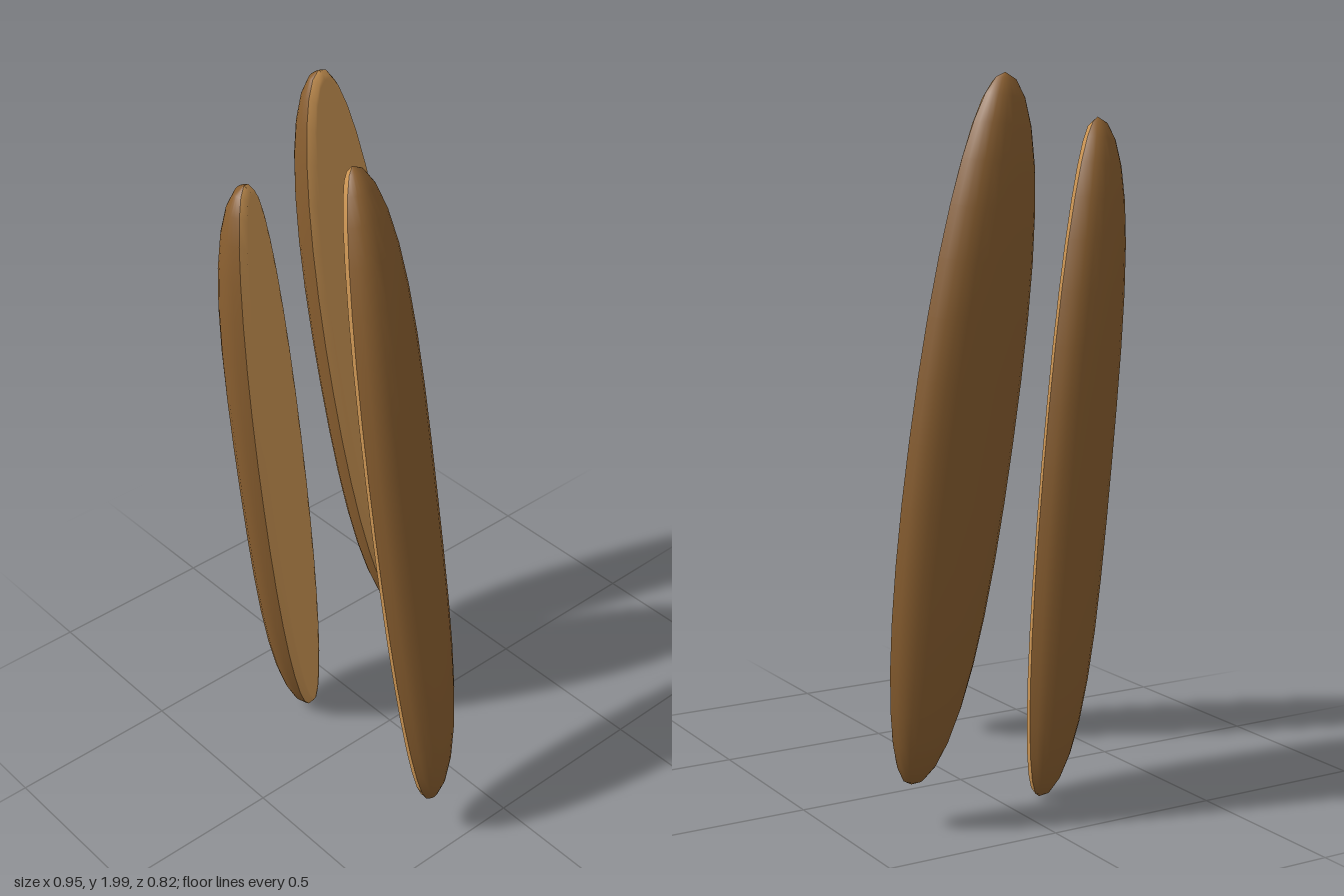
import * as THREE from 'three';

const HALF_LENGTH = 0.945, HALF_WIDTH = 0.176, THICKNESS = 0.108, BEVEL = 0.016;
const ROWS = 18, COLS = 14;

// smooth surface from rows of points, point(s, j) with s running from -1 to 1
function gridSurface(cols, point) {
  const positions = [], index = [];
  for (let i = 0; i <= ROWS; i++) {
    const s = Math.sin((i / ROWS - 0.5) * Math.PI);
    for (let j = 0; j <= cols; j++) positions.push(...point(s, j));
  }
  for (let i = 0; i < ROWS; i++) {
    for (let j = 0; j < cols; j++) {
      const a = i * (cols + 1) + j, b = a + cols + 1;
      index.push(a, a + 1, b, a + 1, b + 1, b);
    }
  }
  const geometry = new THREE.BufferGeometry();
  geometry.setAttribute('position', new THREE.Float32BufferAttribute(positions, 3));
  geometry.setIndex(index);
  geometry.computeVertexNormals();
  return geometry;
}

const halfWidth = (s) => HALF_WIDTH * Math.pow(Math.max(0, 1 - Math.pow(Math.abs(s), 2.15)), 0.5);
const depth = (s) => THICKNESS * Math.pow(Math.max(0, 1 - Math.pow(Math.abs(s), 4)), 0.5);

// rounded back of a sliver
function domeGeometry() {
  return gridSurface(COLS, (s, j) => {
    const t = (j / COLS) * Math.PI;
    const c = Math.cos(t);
    const x = Math.sign(c) * Math.pow(Math.abs(c), 0.9) * halfWidth(s);
    const z = -BEVEL - depth(s) * Math.pow(Math.max(0, Math.sin(t)), 0.9);
    return [x, s * HALF_LENGTH, z];
  });
}

// flat cut face with a narrow bevelled rim: [across, along, height]
function cutGeometry() {
  const section = [
    [-1, 1, -BEVEL], [-0.88, 0.985, 0], [-0.8, 0.97, 0],
    [0.8, 0.97, 0], [0.88, 0.985, 0], [1, 1, -BEVEL],
  ];
  return gridSurface(section.length - 1, (s, j) => {
    const [across, along, z] = section[j];
    return [across * halfWidth(s), s * HALF_LENGTH * along, z];
  });
}

// small dark patch on a cut face
function patchGeometry() {
  const shape = new THREE.Shape([
    [0, -0.13], [0.06, -0.02], [0.05, 0.06], [-0.01, 0.125], [-0.055, 0.04], [-0.05, -0.03],
  ].map(([x, y]) => new THREE.Vector2(x, y)));
  return new THREE.ShapeGeometry(shape);
}

export function createModel() {
  const model = new THREE.Group();
  model.name = 'slivers';

  const skin = new THREE.MeshStandardMaterial({ color: 0x8a5f30 });
  skin.name = 'brown skin';
  const flesh = new THREE.MeshStandardMaterial({ color: 0xcd9654 });
  flesh.name = 'tan cut face';

  const dome = domeGeometry(), cut = cutGeometry();

  // each sliver: upper tip and lower tip of its cut face, and the way that face looks
  const slivers = [
    { name: 'backSliver', top: [-0.39, 2.0, -0.11], bottom: [-0.245, 0.12, -0.31], facing: [1, 0.11, -0.28] },
    { name: 'frontSliver', top: [-0.18, 1.88, 0.31], bottom: [-0.22, 0.01, 0.11], facing: [0.82, 0.04, -0.57] },
    { name: 'leftSliver', top: [0.05, 1.99, 0.19], bottom: [0.4, 0.13, 0.225], facing: [-0.83, -0.15, 0.55], patch: true },
  ];

  for (const { name, top, bottom, facing, patch } of slivers) {
    const a = new THREE.Vector3(...top), b = new THREE.Vector3(...bottom);
    const along = a.clone().sub(b).normalize();
    const across = along.clone().cross(new THREE.Vector3(...facing)).normalize();
    const normal = across.clone().cross(along);

    const sliver = new THREE.Group();
    sliver.name = name;
    sliver.quaternion.setFromRotationMatrix(new THREE.Matrix4().makeBasis(across, along, normal));
    sliver.position.copy(a).add(b).multiplyScalar(0.5);

    const back = new THREE.Mesh(dome, skin);
    back.name = 'roundedBack';
    const face = new THREE.Mesh(cut, flesh);
    face.name = 'cutFace';
    sliver.add(back, face);

    if (patch) {
      const spot = new THREE.Mesh(patchGeometry(), skin);
      spot.name = 'darkPatch';
      spot.position.z = 0.003;
      sliver.add(spot);
    }
    model.add(sliver);
  }
  return model;
}
